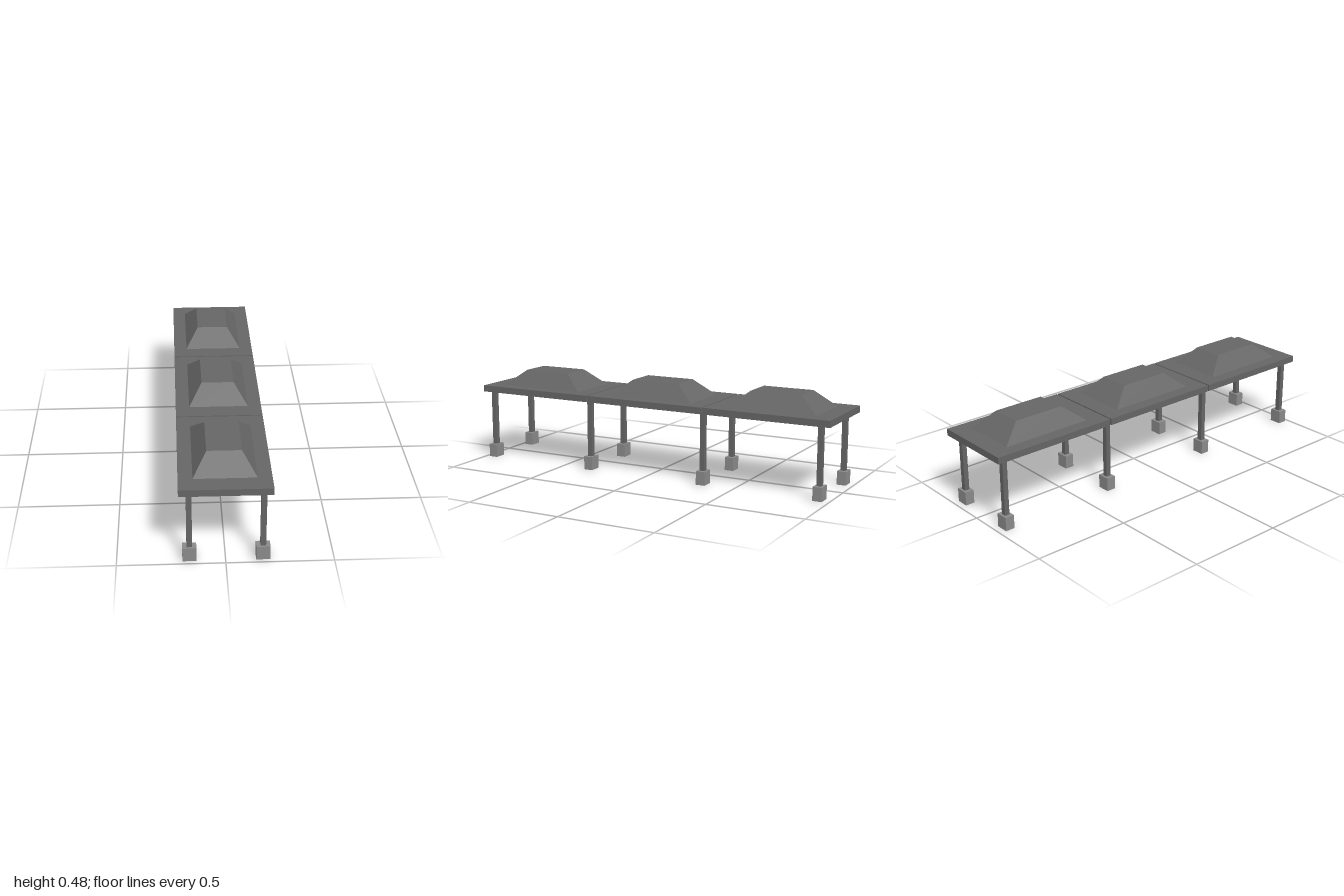
import * as THREE from 'three';

const darkGrey = new THREE.MeshStandardMaterial({ color: 0x666666, flatShading: true });
const midGrey = new THREE.MeshStandardMaterial({ color: 0x8a8a8a, flatShading: true });

function add(parent, name, geometry, material, y) {
  const mesh = new THREE.Mesh(geometry, material);
  mesh.name = name;
  mesh.position.y = y;
  parent.add(mesh);
}

// Box whose top face is drawn in to form a hipped skylight
function hippedBox(width, height, depth, topWidth, topDepth) {
  const geometry = new THREE.BoxGeometry(width, height, depth);
  const p = geometry.attributes.position;
  for (let i = 0; i < p.count; i++) {
    if (p.getY(i) > 0) {
      p.setX(i, Math.sign(p.getX(i)) * topWidth / 2);
      p.setZ(i, Math.sign(p.getZ(i)) * topDepth / 2);
    }
  }
  geometry.computeVertexNormals();
  return geometry;
}

export function createModel() {
  const model = new THREE.Group();
  model.name = 'canopy';

  // Three roof bays, separated by narrow gaps
  const slab = new THREE.BoxGeometry(0.427, 0.034, 0.661);
  const skylight = hippedBox(0.293, 0.082, 0.475, 0.162, 0.265);
  for (const z of [-0.6695, 0, 0.6695]) {
    const bay = new THREE.Group();
    bay.name = 'roofBay';
    bay.position.z = z;
    add(bay, 'roofSlab', slab, darkGrey, 0.381);
    add(bay, 'skylight', skylight, darkGrey, 0.439);
    model.add(bay);
  }

  // Two rows of slim posts on paler footing blocks
  const post = new THREE.BoxGeometry(0.026, 0.298, 0.025);
  const footing = new THREE.BoxGeometry(0.065, 0.07, 0.048);
  for (const z of [-0.943, -0.323, 0.337, 0.956]) {
    for (const x of [-0.166, 0.173]) {
      const column = new THREE.Group();
      column.name = 'column';
      column.position.set(x, 0, z);
      add(column, 'post', post, darkGrey, 0.217);
      add(column, 'footing', footing, midGrey, 0.035);
      model.add(column);
    }
  }
  return model;
}
